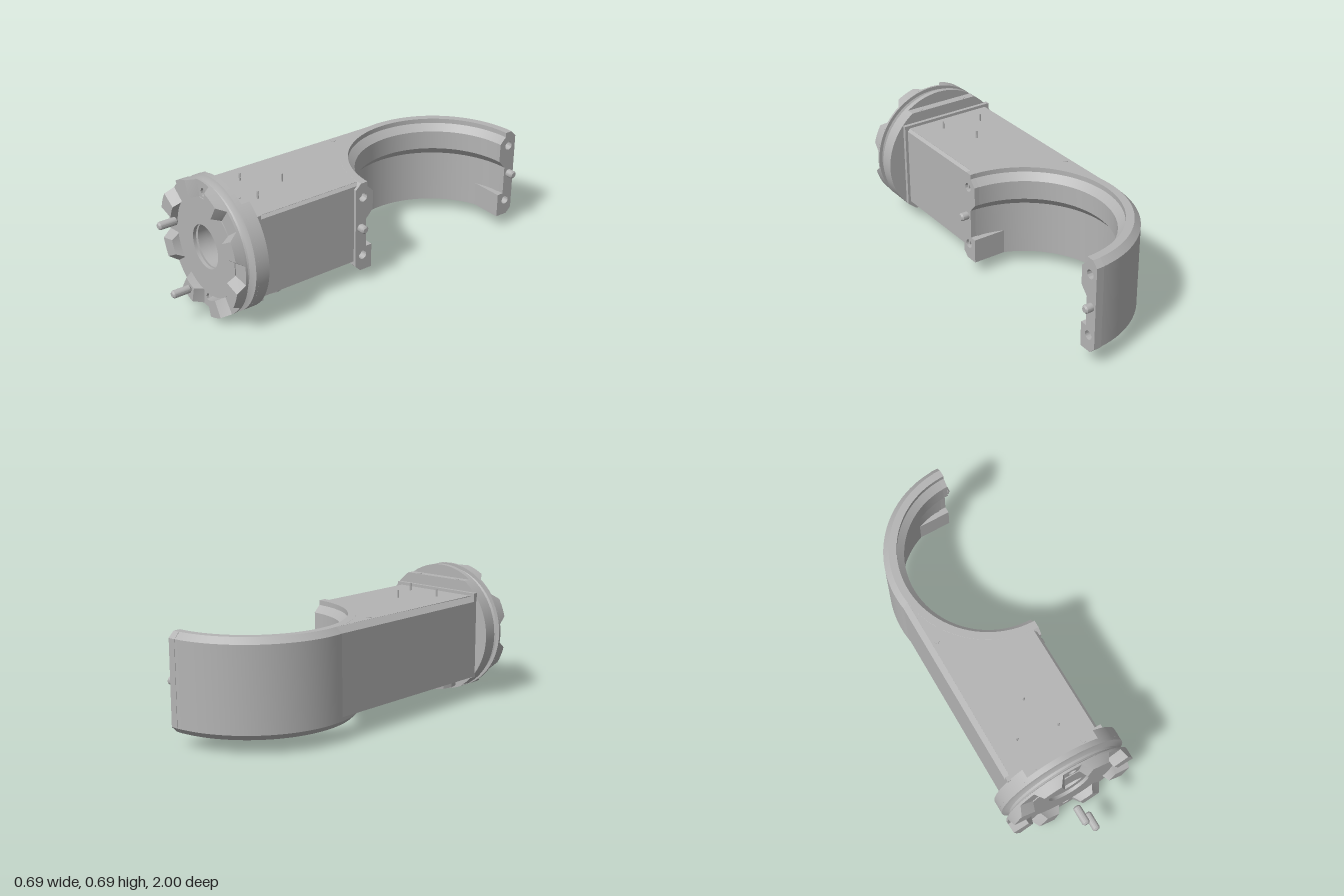
import * as THREE from 'three';
import { toCreasedNormals } from 'three/addons/utils/BufferGeometryUtils.js';

const RING_X = 0.255, RING_Z = -0.465, HUB_Y = 0.345;

export function createModel() {
  const group = new THREE.Group();
  const metal = new THREE.MeshStandardMaterial({ color: 0xb4b4b4, side: THREE.DoubleSide });
  metal.name = 'grey metal';

  const add = (name, geo, x = 0, y = 0, z = 0) => {
    const mesh = new THREE.Mesh(toCreasedNormals(geo, 0.4), metal);
    mesh.name = name;
    mesh.position.set(x, y, z);
    group.add(mesh);
    return mesh;
  };
  const vecs = pts => pts.map(p => new THREE.Vector2(...p));
  const poly = pts => new THREE.Shape(vecs(pts));
  const hole = (shape, x, y, r) => {
    shape.holes.push(new THREE.Path().absarc(x, y, r, 0, Math.PI * 2, true));
    return shape;
  };
  const extrude = (shape, depth) =>
    new THREE.ExtrudeGeometry(shape, { depth, bevelEnabled: false, curveSegments: 32 });
  // Round pin with chamfered ends, along y from 0
  const pin = (r, len, c = r * 0.35) => new THREE.LatheGeometry(vecs([
    [0, 0], [r - c, 0], [r, c], [r, len - c], [r - c, len], [0, len]]), 16);

  // Half-ring clamp
  const outer = [[0.505, 0.07], [0.535, 0.10], [0.535, 0.53], [0.505, 0.56]];
  const inner = [[0.465, 0.56], [0.465, 0.535], [0.43, 0.50], [0.43, 0.40], [0.47, 0.355]];
  const profile = [[0.47, 0.07], ...outer, ...inner, [0.47, 0.07]];
  add('clampRing', new THREE.LatheGeometry(vecs(profile), 64, Math.PI + 0.06, Math.PI - 0.12),
    RING_X, 0, RING_Z);

  // Clamp end faces with bolt holes, wedge tabs and locating pegs
  for (const s of [1, -1]) {
    const face = poly([[0.435, 0.07], ...outer, ...inner, [0.47, 0.2], [0.435, 0.2]]);
    for (const y of [0.155, 0.48]) hole(face, 0.49, y, 0.023);
    const geo = extrude(face, 0.04).rotateY(-s * Math.PI / 2);
    if (s < 0) geo.translate(-0.04, 0, 0);
    add('clampEnd', geo, RING_X, 0, RING_Z);
    add('wedgeTab', new THREE.BoxGeometry(0.14, 0.13, 0.03),
      RING_X - 0.11, 0.135, RING_Z + s * 0.45);
    for (const y of [0.155, 0.48])
      add('boltHoleFloor', new THREE.CylinderGeometry(0.026, 0.026, 0.004, 16).rotateZ(Math.PI / 2),
        RING_X - 0.04, y, RING_Z + s * 0.49);
    add('locatingPeg', pin(0.021, 0.05).rotateZ(-Math.PI / 2), RING_X - 0.01, 0.315, RING_Z + s * 0.503);
  }

  // Housing: roof cut to follow the ring, open underneath
  const roof = new THREE.Shape();
  roof.moveTo(-0.25, -0.64);
  roof.lineTo(0.226, -0.64);
  roof.lineTo(0.226, -0.03);
  roof.absarc(RING_X, -RING_Z, 0.5, -Math.PI / 2 - 0.06, -Math.PI, true);
  roof.lineTo(-0.25, -0.64);
  add('housingRoof', extrude(roof, 0.03).rotateX(-Math.PI / 2), 0, 0.5295, 0);
  add('leftWall', extrude(poly([[-0.275, 0.12], [-0.24, 0.12], [-0.24, 0.559], [-0.247, 0.559],
    [-0.275, 0.53]]), 0.64 - RING_Z), 0, 0, RING_Z);
  add('rightWall', extrude(poly([[0.24, 0.125], [0.24, 0.545], [0.225, 0.559], [0.21, 0.559],
    [0.21, 0.125]]), 0.6), 0, 0, 0.04);
  add('frontWall', extrude(hole(poly([[-0.275, 0.115], [0.255, 0.115], [0.255, 0.575], [-0.275, 0.575]]),
    0, HUB_Y, 0.113), 0.025), 0, 0, 0.625);
  add('roofScrew', new THREE.CylinderGeometry(0.013, 0.013, 0.004, 12), -0.22, 0.56, -0.145);

  // Three motors hanging inside, with thin shafts through the roof
  for (const [x, z, sx, sz] of [[0, 0.3, 0, 0.33], [-0.13, 0.5, -0.13, 0.49], [0.085, 0.5, 0.08, 0.525]]) {
    add('motor', new THREE.CylinderGeometry(0.104, 0.104, 0.355, 12), x, 0.2575, z);
    add('motorShaft', new THREE.CylinderGeometry(0.005, 0.005, 0.1, 8), sx, 0.55, sz);
  }

  // Flange back slab, flattened at top and bottom
  const slab = new THREE.Shape();
  const flat = Math.asin(0.285 / 0.345);
  slab.absarc(0, 0, 0.345, -flat, flat, false);
  slab.absarc(0, 0, 0.345, Math.PI - flat, Math.PI + flat, false);
  add('flangeSlab', extrude(hole(slab, 0, 0, 0.113), 0.055), 0, HUB_Y, 0.645);
  for (const x of [-0.13, 0.13]) for (const y of [-0.285, 0.285])
    add('flangeScrew', new THREE.CylinderGeometry(0.013, 0.013, 0.004, 12), x, HUB_Y + y, 0.665);

  // Grooved flange rim
  add('grooveRim', new THREE.LatheGeometry(vecs([
    [0.113, 0.69], [0.345, 0.69], [0.345, 0.718], [0.328, 0.722], [0.31, 0.733], [0.305, 0.743],
    [0.31, 0.753], [0.33, 0.764], [0.25, 0.752], [0.113, 0.752], [0.113, 0.69]]), 64)
    .rotateX(Math.PI / 2), 0, HUB_Y, 0);

  // Front plate with two dowel holes and a raised centre
  const plate = new THREE.Shape().absarc(0, 0, 0.345, 0, Math.PI * 2, false);
  hole(plate, 0, 0, 0.113);
  for (const y of [-0.289, 0.289]) hole(plate, 0, y, 0.023);
  add('frontPlate', extrude(plate, 0.012), 0, HUB_Y, 0.762);
  const centre = new THREE.Shape().absarc(0, 0, 0.258, 0, Math.PI * 2, false);
  add('centreDisc', extrude(hole(centre, 0, 0, 0.113), 0.008), 0, HUB_Y, 0.771);

  // Eight sloped coupling teeth, bent from a box
  for (let k = 0; k < 8; k++) {
    const geo = new THREE.BoxGeometry(1, 1, 1, 8, 1, 1);
    const p = geo.attributes.position;
    for (let i = 0; i < p.count; i++) {
      const top = p.getZ(i) > 0;
      const a = THREE.MathUtils.degToRad(22.5 + 45 * k + p.getX(i) * 2 * (top ? 8.2 : 14.3));
      const r = p.getY(i) > 0 ? 0.345 : 0.258;
      p.setXYZ(i, r * Math.sin(a), r * Math.cos(a), top ? 0.82 : 0.772);
    }
    geo.computeVertexNormals();
    add('couplingTooth', geo, 0, HUB_Y, 0);
  }

  // Loose dowels in front of the flange
  for (const s of [1, -1])
    add('dowel', pin(0.02, 0.1, 0.008).rotateX(Math.PI / 2), s * 0.044, HUB_Y - s * 0.165, 0.9);

  return group;
}
